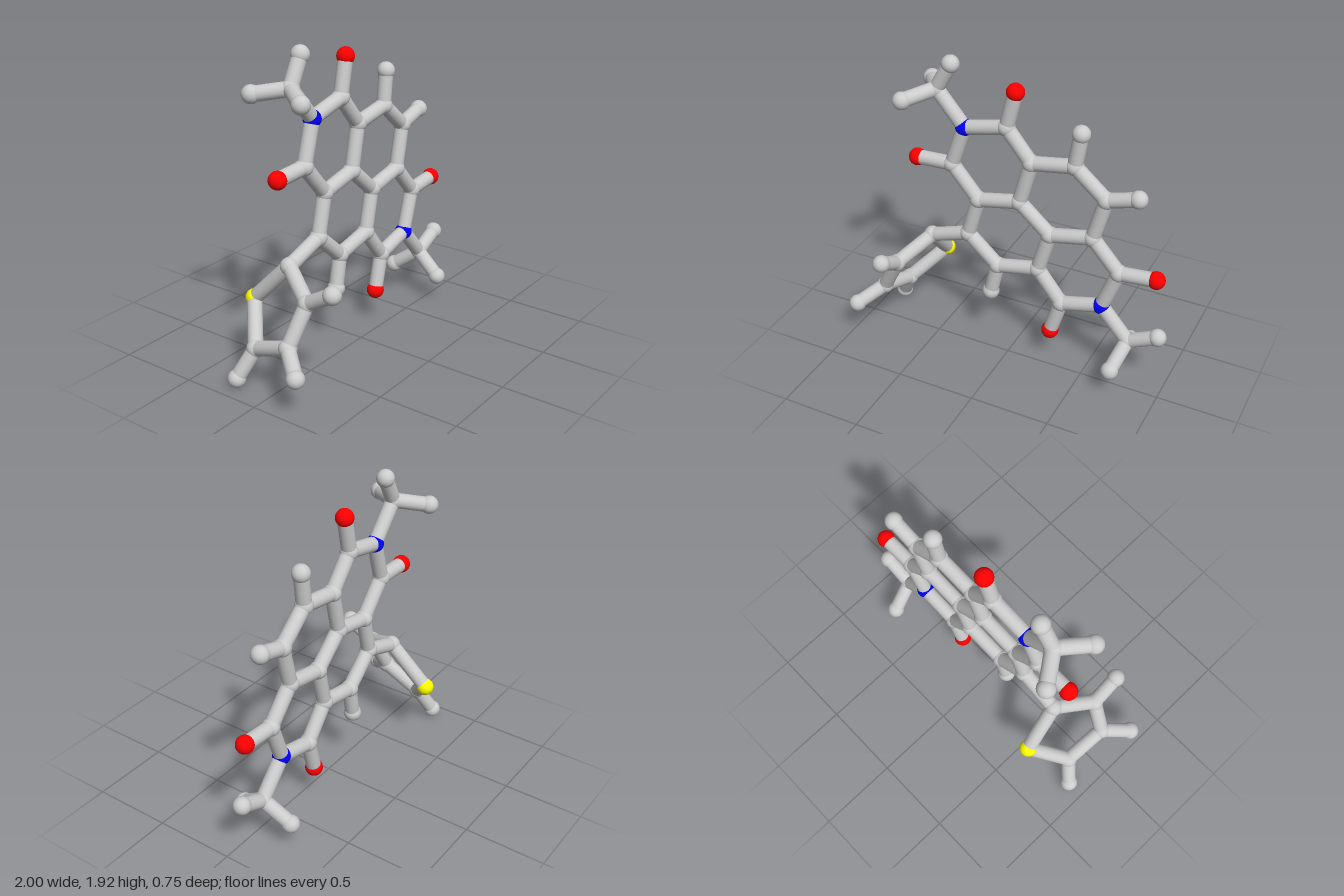
import * as THREE from 'three';

const ATOM_RADIUS = 0.054;
const BOND_RADIUS = 0.045;

// The fused ring system lies in one slightly tilted plane
const planeZ = (x, y) => -0.066 - 0.022 * y - 0.012 * x;

// name: [element, x, y, z]; z is taken from the ring plane when omitted
const ATOMS = {
  // upper imide ring
  n1: ['N', -0.33, 1.49], c1: ['C', -0.06, 1.55], o1: ['O', -0.005, 1.78],
  c2: ['C', 0.1, 1.355], c3: ['C', 0.03, 1.08], c4: ['C', -0.24, 1.025],
  c5: ['C', -0.415, 1.23], o2: ['O', -0.65, 1.22],
  // central rings
  c6: ['C', 0.37, 1.4], h6: ['H', 0.4, 1.61],
  c7: ['C', 0.57, 1.23], h7: ['H', 0.76, 1.285],
  c8: ['C', 0.5, 0.96], c9: ['C', 0.23, 0.905],
  c10: ['C', -0.31, 0.77], c11: ['C', -0.11, 0.59], h11: ['H', -0.155, 0.385],
  c12: ['C', 0.16, 0.645],
  // lower imide ring
  c13: ['C', 0.32, 0.44], o3: ['O', 0.255, 0.215], n2: ['N', 0.58, 0.505],
  c14: ['C', 0.675, 0.765], o4: ['O', 0.905, 0.785],
  // methyl groups
  m1: ['C', -0.51, 1.7], m1a: ['H', -0.415, 1.87],
  m1b: ['H', -0.64, 1.67, 0.08], m1c: ['H', -0.635, 1.67, -0.27],
  m2: ['C', 0.76, 0.3], m2a: ['H', 0.945, 0.385],
  m2b: ['H', 0.72, 0.18, 0.09], m2c: ['H', 0.72, 0.18, -0.25],
  // five-sided side ring
  t1: ['C', -0.57, 0.68, -0.085], t2: ['C', -0.7, 0.565, 0.145],
  t3: ['C', -0.825, 0.33, 0.105], t4: ['C', -0.8, 0.235, -0.155],
  s: ['S', -0.605, 0.43, -0.325],
  h2: ['H', -0.7, 0.665, 0.32], h3: ['H', -0.945, 0.245, 0.255], h4: ['H', -0.89, 0.06, -0.225],
};

// Each chain joins consecutive atoms
const CHAINS = [
  'n1 c1 c2 c3 c4 c5 n1', 'c1 o1', 'c5 o2',
  'c2 c6 c7 c8 c9 c3', 'c6 h6', 'c7 h7',
  'c4 c10 c11 c12 c9', 'c11 h11',
  'c12 c13 n2 c14 c8', 'c13 o3', 'c14 o4',
  'n1 m1 m1a', 'm1b m1 m1c', 'n2 m2 m2a', 'm2b m2 m2c',
  'c10 t1 t2 t3 t4 s t1', 't2 h2', 't3 h3', 't4 h4',
];

const ELEMENTS = {
  C: ['carbonAtom', 0xcccccc],
  H: ['hydrogenAtom', 0xcccccc],
  N: ['nitrogenAtom', 0x0000ff],
  O: ['oxygenAtom', 0xff0000],
  S: ['sulfurAtom', 0xffff00],
};

export function createModel() {
  const model = new THREE.Group();
  model.name = 'molecule';
  const atoms = new THREE.Group();
  atoms.name = 'atoms';
  const bonds = new THREE.Group();
  bonds.name = 'bonds';
  model.add(atoms, bonds);

  const materials = {};
  for (const [key, [, color]] of Object.entries(ELEMENTS)) {
    materials[key] = new THREE.MeshStandardMaterial({ color });
  }

  // Atoms: slightly wider than the sticks so they show at the joints
  const ball = new THREE.SphereGeometry(ATOM_RADIUS, 24, 16);
  const points = {};
  for (const [id, [element, x, y, z = planeZ(x, y)]] of Object.entries(ATOMS)) {
    const atom = new THREE.Mesh(ball, materials[element]);
    atom.name = ELEMENTS[element][0];
    atom.position.set(x, y, z);
    points[id] = atom.position;
    atoms.add(atom);
  }

  // Bonds: plain sticks from centre to centre
  const up = new THREE.Vector3(0, 1, 0);
  const addBond = (a, b) => {
    const along = b.clone().sub(a);
    const stick = new THREE.CylinderGeometry(BOND_RADIUS, BOND_RADIUS, along.length(), 20);
    const bond = new THREE.Mesh(stick, materials.C);
    bond.name = 'bond';
    bond.position.copy(a).add(b).multiplyScalar(0.5);
    bond.quaternion.setFromUnitVectors(up, along.normalize());
    bonds.add(bond);
  };
  for (const chain of CHAINS) {
    const ids = chain.split(' ');
    for (let i = 1; i < ids.length; i++) addBond(points[ids[i - 1]], points[ids[i]]);
  }
  return model;
}
